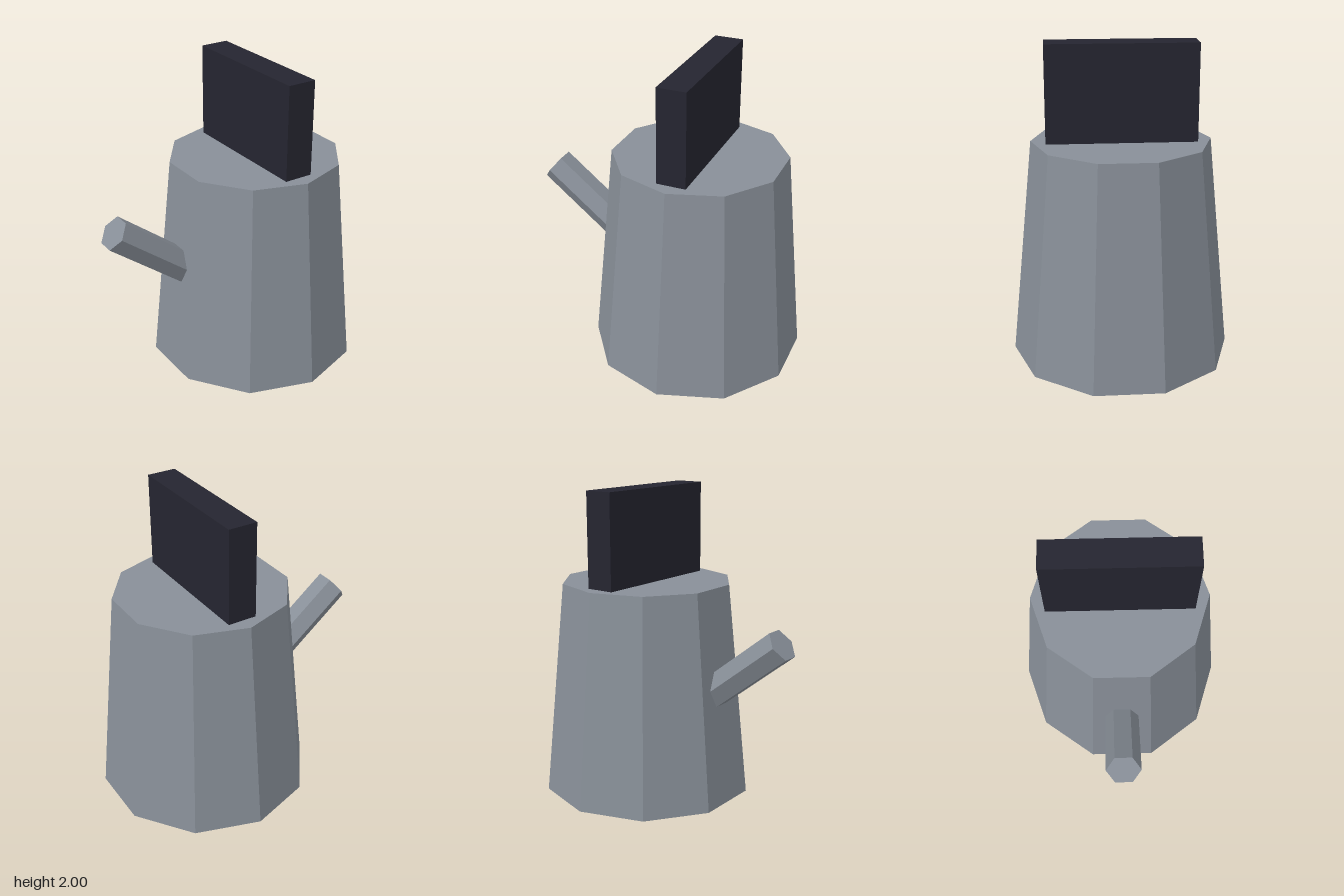
import * as THREE from 'three';

export function createModel() {
  const kettle = new THREE.Group();
  kettle.name = 'kettle';

  const metal = new THREE.MeshStandardMaterial({ color: 0x888f98, flatShading: true });
  metal.name = 'grey metal';
  const dark = new THREE.MeshStandardMaterial({ color: 0x252530, flatShading: true });
  dark.name = 'dark grip';

  const add = (name, geometry, material, x, y, z) => {
    const mesh = new THREE.Mesh(geometry, material);
    mesh.name = name;
    mesh.position.set(x, y, z);
    kettle.add(mesh);
    return mesh;
  };

  // Ten-sided tapered body, standing on the ground
  const bodyHeight = 1.395;
  const bodyX = 0.213;
  add('body', new THREE.CylinderGeometry(0.558, 0.697, bodyHeight, 10), metal, bodyX, bodyHeight / 2, 0);

  // Upright slab handle on the lid
  const handleHeight = 2 - bodyHeight;
  add('handle', new THREE.BoxGeometry(0.186, handleHeight, 0.93), dark, bodyX, bodyHeight + handleHeight / 2, 0);

  // Hexagonal spout, sloping up and out to the right, its root inside the body
  const tilt = 0.9;
  const length = 0.7;
  const spout = add('spout', new THREE.CylinderGeometry(0.11, 0.11, length, 6), metal,
    -0.82 + Math.sin(tilt) * length / 2, 1.116 - Math.cos(tilt) * length / 2, 0);
  spout.rotation.z = tilt;

  return kettle;
}
